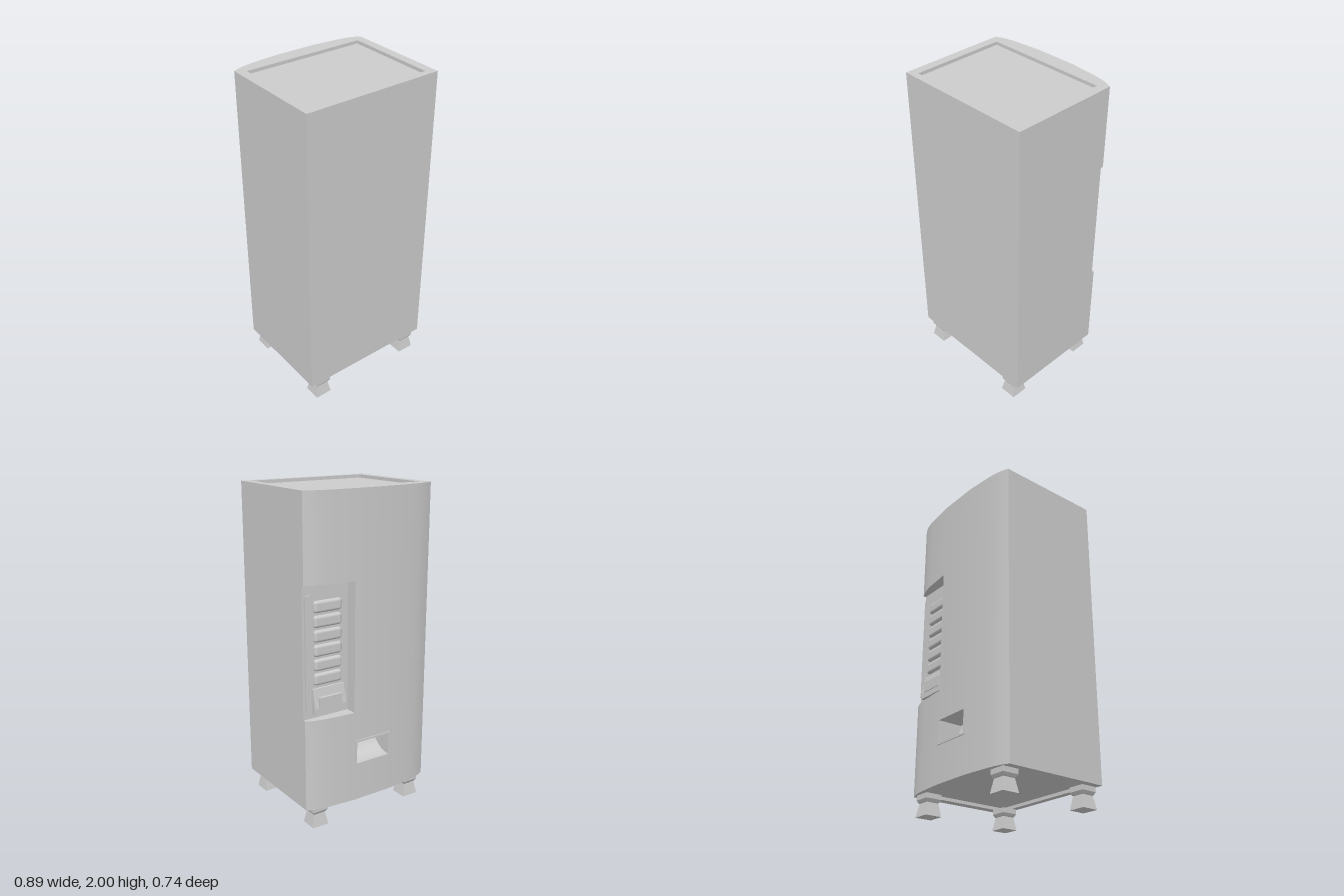
import * as THREE from 'three';
import { mergeGeometries, toCreasedNormals } from 'three/addons/utils/BufferGeometryUtils.js';
import { RoundedBoxGeometry } from 'three/addons/geometries/RoundedBoxGeometry.js';

const material = new THREE.MeshStandardMaterial({ color: 0xcccccc });
const flatMaterial = new THREE.MeshStandardMaterial({ color: 0xcccccc, flatShading: true });

// Bowed door outline, x and z, from the -x edge to the +x edge
const half = [[0.13, -0.364], [0.3, -0.348], [0.345, -0.341], [0.39, -0.331], [0.443, -0.308]];
const bow = [...half.map(([x, z]) => [-x, z]).reverse(), ...half];
const HALF_W = 0.443, REAR = 0.367;
const PANEL_X = 0.135, PANEL_Z = -0.29;
const CHUTE_W = 0.118, CHUTE_Z = -0.215;

const toShape = pts => new THREE.Shape(pts.map(p => new THREE.Vector2(p[0], p[1])));
const rect = (x0, y0, x1, y1) => [[x0, y0], [x1, y0], [x1, y1], [x0, y1]];

// Horizontal slice of the cabinet between two heights
function slice(door, y0, y1, hole) {
  const outline = [[-HALF_W, REAR], ...door, [HALF_W, REAR]];
  const shape = toShape(outline.map(([x, z]) => [x, -z]));
  if (hole) shape.holes.push(toShape(hole));
  const geo = new THREE.ExtrudeGeometry(shape, { depth: y1 - y0, bevelEnabled: false });
  return geo.rotateX(-Math.PI / 2).translate(0, y0, 0);
}

// Profile in z and y, extruded across x
function acrossX(profile, x0, x1) {
  const geo = new THREE.ExtrudeGeometry(toShape(profile), { depth: x1 - x0, bevelEnabled: false });
  return geo.rotateY(-Math.PI / 2).translate(x1, 0, 0);
}

export function createModel() {
  const model = new THREE.Group();
  const add = (name, geo, parent = model, mat = material) => {
    const mesh = new THREE.Mesh(geo, mat);
    mesh.name = name;
    parent.add(mesh);
    return mesh;
  };
  const box = (name, x0, x1, y0, y1, z0, z1, parent) =>
    add(name, new THREE.BoxGeometry(x1 - x0, y1 - y0, z1 - z0)
      .translate((x0 + x1) / 2, (y0 + y1) / 2, (z0 + z1) / 2), parent);

  // Cabinet: stacked slices with the panel bay, chute opening and recessed ends
  const panelDoor = [...bow.slice(0, 6 - 1), [0.13, -0.364], [PANEL_X, -0.3635],
    [PANEL_X, PANEL_Z], [HALF_W, PANEL_Z]];
  const chuteDoor = [...bow.slice(0, 5), [-CHUTE_W, -0.364], [-CHUTE_W, CHUTE_Z],
    [CHUTE_W, CHUTE_Z], [CHUTE_W, -0.364], ...bow.slice(5)];
  const recess = rect(-0.388, -0.326, 0.388, 0.265);
  const cabinet = mergeGeometries([
    slice(bow, 0.13, 0.15, recess),
    slice(bow, 0.15, 0.372),
    slice(chuteDoor, 0.372, 0.508),
    slice(bow, 0.508, 0.7),
    slice(panelDoor, 0.7, 1.49),
    slice(bow, 1.49, 1.98),
    slice(bow, 1.98, 2, recess),
  ]);
  add('cabinet', toCreasedNormals(cabinet, 0.6));

  // Control panel: edge bar and a column of selection buttons
  const panel = new THREE.Group();
  panel.name = 'controlPanel';
  model.add(panel);
  box('edgeBar', 0.395, 0.43, 0.76, 1.43, -0.303, -0.28, panel);
  for (let i = 0; i < 6; i++) {
    add('selectionButton', new RoundedBoxGeometry(0.185, 0.07, 0.038, 4, 0.017)
      .translate(0.277, 1.358 - i * 0.085, -0.29), panel);
  }

  // Coin unit: sloped housing with a raised return cup
  add('coinHousing', acrossX([[-0.28, 0.73], [-0.326, 0.73], [-0.326, 0.765],
    [-0.303, 0.88], [-0.28, 0.88]], 0.17, 0.385), panel);
  add('coinReturnCup', acrossX([[-0.3, 0.765], [-0.331, 0.765], [-0.331, 0.83],
    [-0.3, 0.83]], 0.2, 0.355), panel);

  // Delivery chute: rim and curved ramp
  const rim = toShape(rect(-0.13, 0.36, 0.13, 0.52));
  rim.holes.push(toShape(rect(-CHUTE_W, 0.372, CHUTE_W, 0.508)));
  add('chuteRim', new THREE.ExtrudeGeometry(rim, { depth: 0.02, bevelEnabled: false })
    .translate(0, 0, -0.37));
  const ramp = [[CHUTE_Z, 0.372]];
  for (let i = 0; i <= 10; i++) {
    const a = (i / 10) * Math.PI / 2;
    ramp.push([CHUTE_Z - 0.14 * (1 - Math.cos(a)), 0.508 - 0.134 * Math.sin(a)]);
  }
  add('chuteRamp', toCreasedNormals(acrossX(ramp, -CHUTE_W, CHUTE_W), 0.6));

  // Feet: square flared blocks under stepped caps, as half widths and heights
  const footProfile = [[0, 0], [0.054, 0], [0.039, 0.08], [0.043, 0.084], [0.052, 0.1],
    [0.052, 0.13], [0, 0.13]].map(([w, y]) => new THREE.Vector2(w * Math.SQRT2, y));
  for (const x of [-0.347, 0.347]) {
    for (const z of [-0.264, 0.307]) {
      add('foot', new THREE.LatheGeometry(footProfile, 4, Math.PI / 4)
        .translate(x, 0, z), model, flatMaterial);
    }
  }
  return model;
}
